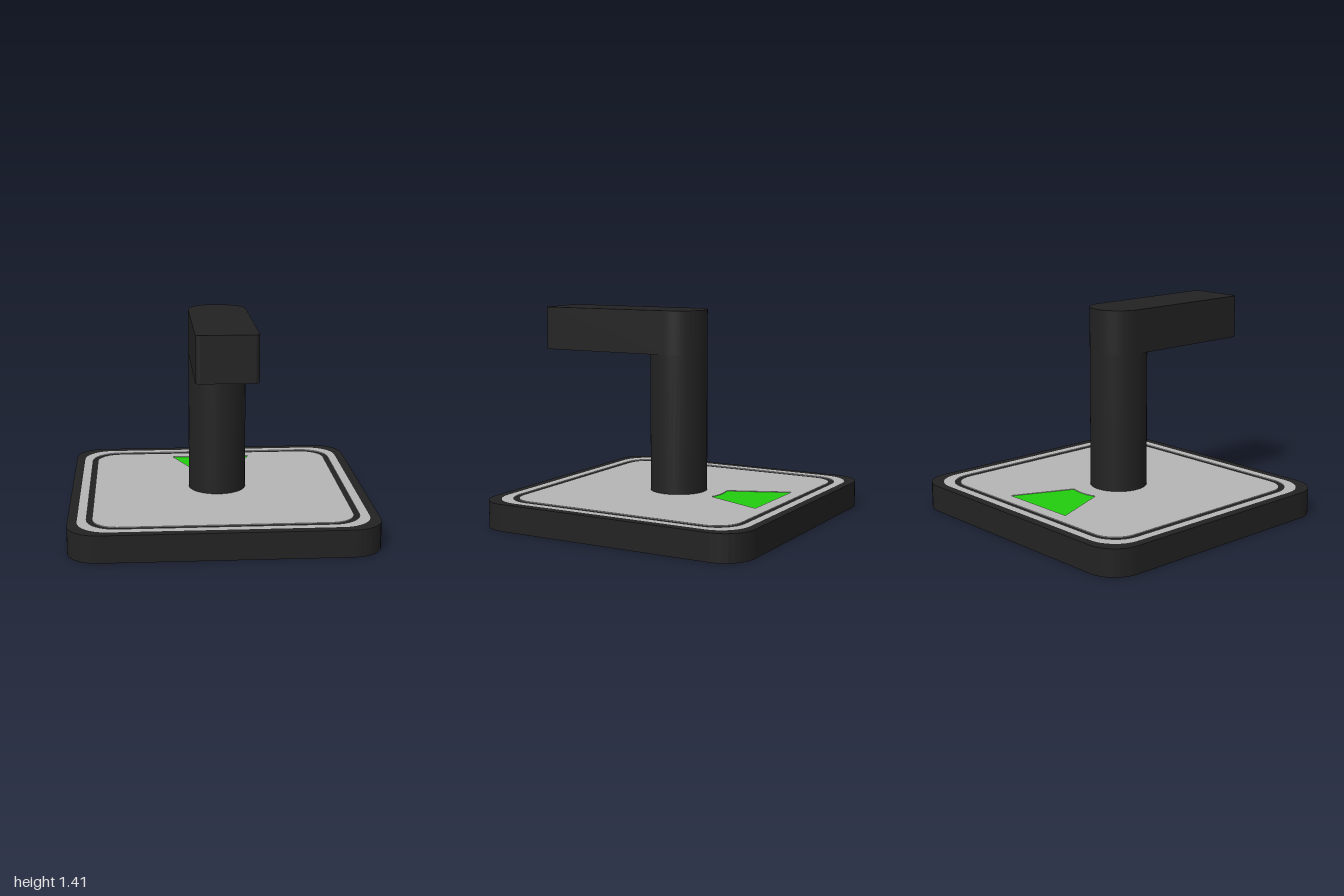
import * as THREE from 'three';

const CENTER_Z = -0.035; // axis of base and column
const DECK = 0.174, TOP = 0.18;

const black = new THREE.MeshStandardMaterial({ color: 0x222222 });
black.name = 'black';
const grey = new THREE.MeshStandardMaterial({ color: 0xb4b4b4 });
grey.name = 'light grey';
const green = new THREE.MeshStandardMaterial({ color: 0x22cc0f });
green.name = 'green';

// Rounded rectangle from half sizes; shape +y becomes the back (-z)
function roundedRect(hx, hy, r, type = THREE.Shape) {
  const s = new type();
  s.absarc(hx - r, hy - r, r, 0, Math.PI / 2);
  s.absarc(-hx + r, hy - r, r, Math.PI / 2, Math.PI);
  s.absarc(-hx + r, -hy + r, r, Math.PI, Math.PI * 1.5);
  s.absarc(hx - r, -hy + r, r, Math.PI * 1.5, Math.PI * 2);
  s.closePath();
  return s;
}

// Wedge pointer whose short edge is an arc around the column
function wedge(type) {
  const s = new type();
  const r = 0.33, a = Math.acos(0.11 / r);
  s.moveTo(0.283, 0.72);
  s.lineTo(-0.283, 0.72);
  s.absarc(0, 0, r, Math.PI - a, a, true);
  s.closePath();
  return s;
}

export function createModel() {
  const model = new THREE.Group();
  model.name = 'pillarWithArm';

  const add = (name, geometry, material) => {
    const mesh = new THREE.Mesh(geometry, material);
    mesh.name = name;
    mesh.position.z = CENTER_Z;
    model.add(mesh);
  };
  // Upright extrusion of a plan shape between two heights
  const slab = (name, shape, y0, y1, material, curveSegments = 4) => {
    const g = new THREE.ExtrudeGeometry(shape, { depth: y1 - y0, bevelEnabled: false, curveSegments });
    g.rotateX(-Math.PI / 2).translate(0, y0, 0);
    add(name, g, material);
  };

  // Base block with its raised rim
  slab('base', roundedRect(0.997, 0.965, 0.2), 0, DECK, black);
  const rim = roundedRect(0.997, 0.965, 0.2);
  rim.holes.push(roundedRect(0.936, 0.906, 0.2, THREE.Path));
  slab('baseRim', rim, DECK, TOP, black);

  // Grey border and inner panel, parted by a dark groove
  const border = roundedRect(0.936, 0.906, 0.2);
  border.holes.push(roundedRect(0.877, 0.848, 0.19, THREE.Path));
  slab('border', border, DECK, TOP, grey);
  const panel = roundedRect(0.84, 0.815, 0.165);
  panel.holes.push(wedge(THREE.Path));
  slab('panel', panel, DECK, TOP, grey);

  // Green pointer set into the panel
  slab('pointer', wedge(THREE.Shape), DECK, DECK + 0.002, green, 8);

  // Round column
  const column = new THREE.CylinderGeometry(0.194, 0.194, 1.12 - DECK, 40);
  column.translate(0, (1.12 + DECK) / 2, 0);
  add('column', column, black);

  // Forward arm: round at the back, small corner radii at the front
  const w = 0.194, front = -1 - CENTER_Z, r = 0.03;
  const arm = new THREE.Shape();
  arm.absarc(0, 0, w, 0, Math.PI);
  arm.absarc(-w + r, front + r, r, Math.PI, Math.PI * 1.5);
  arm.absarc(w - r, front + r, r, Math.PI * 1.5, Math.PI * 2);
  arm.closePath();
  slab('arm', arm, 1.12, 1.415, black, 20);

  return model;
}
